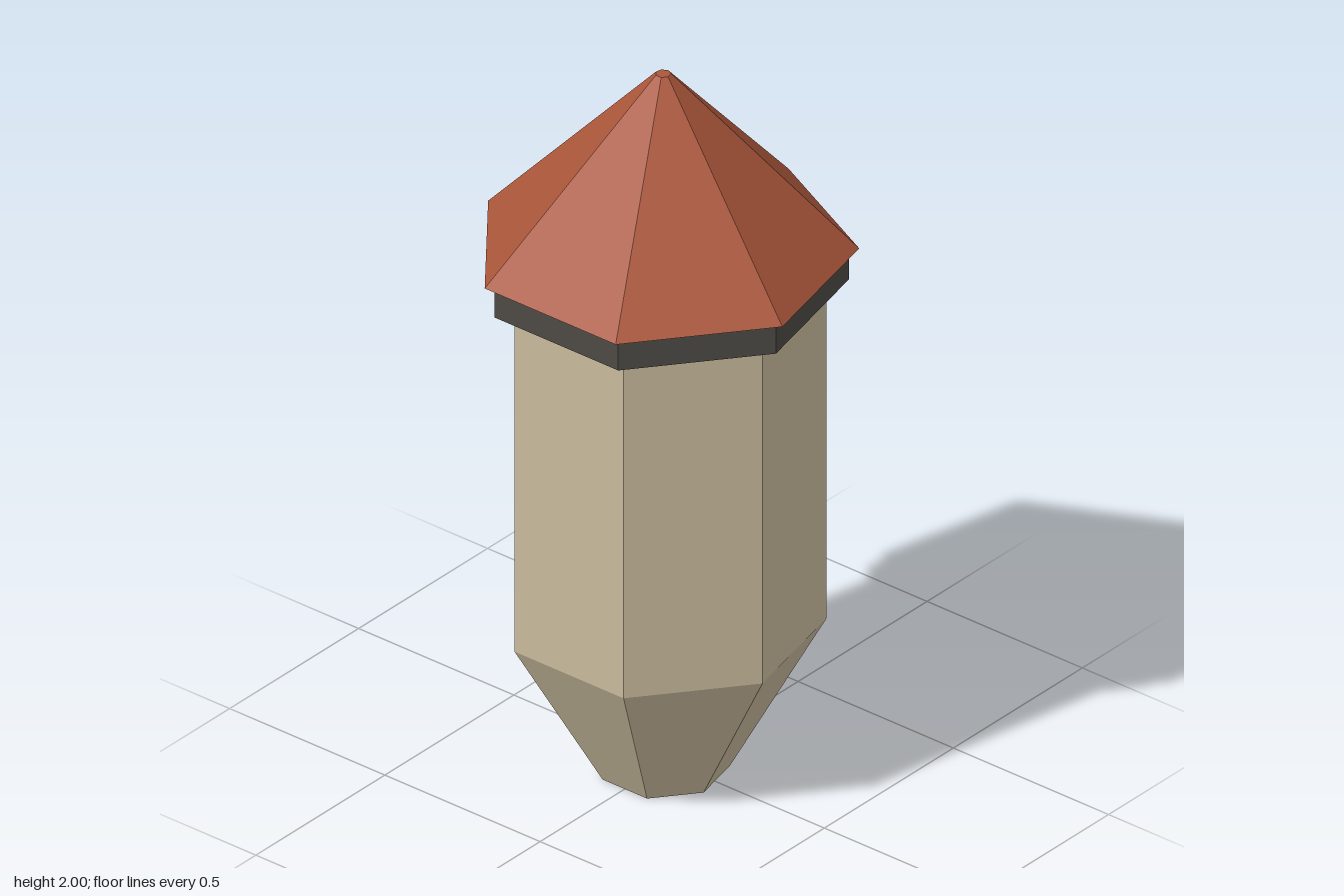
import * as THREE from 'three';

export function createModel() {
  const model = new THREE.Group();
  model.name = 'turret';

  const material = (name, color) => {
    const m = new THREE.MeshStandardMaterial({ color, flatShading: true });
    m.name = name;
    return m;
  };
  const stone = material('pale stone', 0xc8ba9c);
  const iron = material('dark trim', 0x4d4a45);
  const tile = material('roof tile', 0xaa563a);

  // Seven-sided section between two heights, with a corner pointing backwards
  const section = (name, mat, rBottom, rTop, yBottom, yTop) => {
    const geometry = new THREE.CylinderGeometry(
      rTop, rBottom, yTop - yBottom, 7, 1, false, Math.PI);
    const mesh = new THREE.Mesh(geometry, mat);
    mesh.name = name;
    mesh.position.set(0, (yBottom + yTop) / 2, 0.023);
    model.add(mesh);
  };

  section('taperedBase', stone, 0.165, 0.405, 0, 0.43);
  section('towerBody', stone, 0.405, 0.405, 0.43, 1.41);
  section('collar', iron, 0.46, 0.46, 1.41, 1.5);
  section('roof', tile, 0.486, 0.02, 1.5, 2);

  return model;
}
